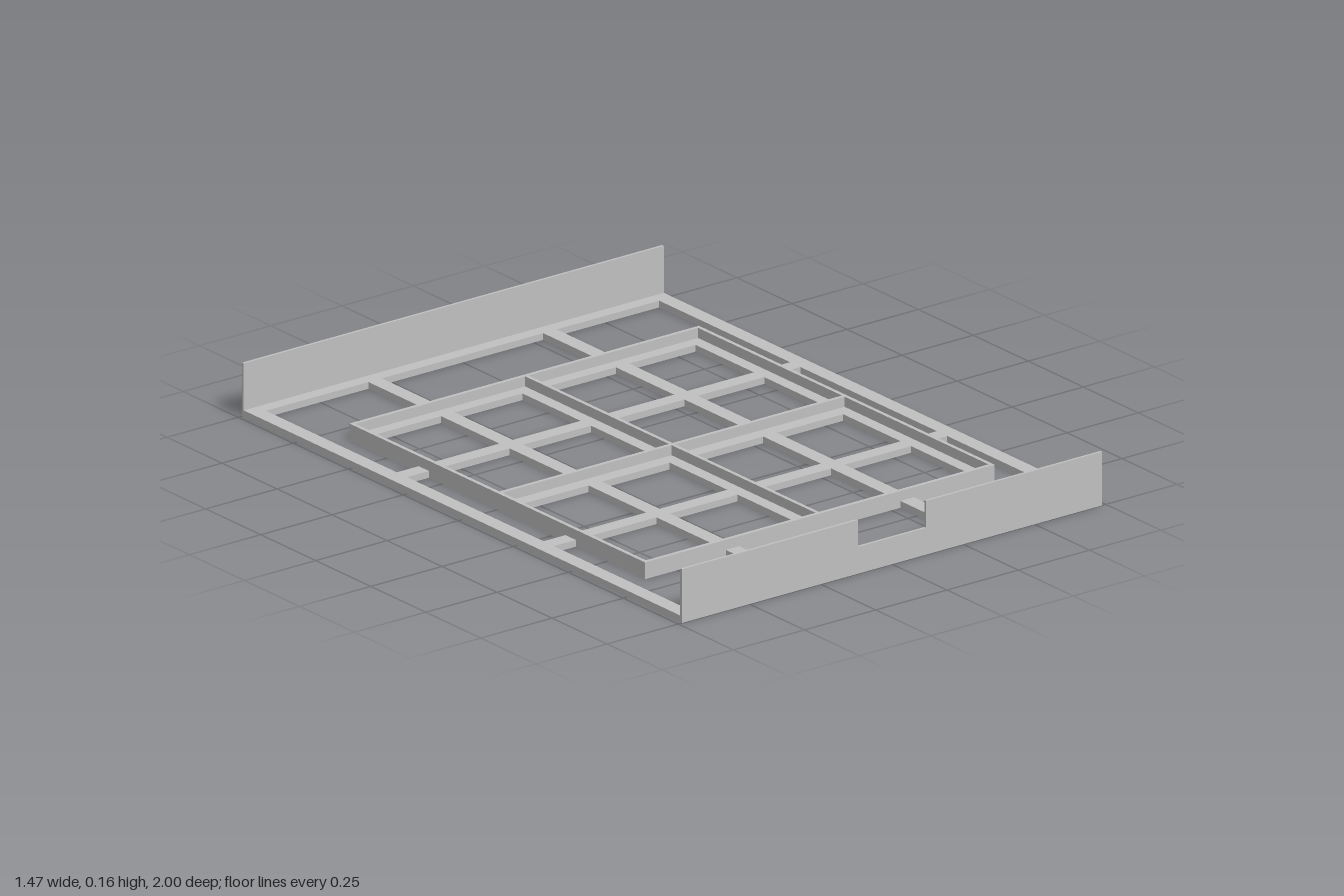
import * as THREE from 'three';

export function createModel() {
  const model = new THREE.Group();
  const grey = new THREE.MeshStandardMaterial({ color: 0xc0c0c0 });
  grey.name = 'light grey';

  const W = 0.737, L = 1;               // half width and length of the base
  const TW = 0.613, TL = 0.672;         // half width and length of the inner tray
  const floor = 0.02, rimTop = 0.05, wallTop = 0.16, thin = 0.008;

  const path = (Type, points) => new Type(points.map(([x, y]) => new THREE.Vector2(x, y)));
  const rect = (x0, x1, y0, y1) => [[x0, y0], [x1, y0], [x1, y1], [x0, y1]];
  const add = (name, geometry, x = 0, y = 0, z = 0) => {
    const mesh = new THREE.Mesh(geometry, grey);
    mesh.name = name;
    mesh.position.set(x, y, z);
    model.add(mesh);
  };
  const extrude = (shape, depth) => new THREE.ExtrudeGeometry(shape, { depth, bevelEnabled: false });

  // Lattice base, drawn in plan and laid flat
  const base = path(THREE.Shape, rect(-W, W, -L, L));
  const cut = (points) => base.holes.push(path(THREE.Path, points));
  for (const sx of [-1, 1]) {
    for (const sy of [-1, 1]) {
      // Four windows in each tray cell
      for (const [x0, x1] of [[0.045, 0.283], [0.33, 0.563]])
        for (const [y0, y1] of [[0.048, 0.31], [0.357, 0.622]])
          cut(rect(sx * x0, sx * x1, sy * y0, sy * y1));
      // L-shaped corner opening around the tray
      cut([[0.33, TL], [TW, TL], [TW, 0.357], [0.69, 0.357], [0.69, 0.952], [0.33, 0.952]]
        .map(([x, y]) => [sx * x, sy * y]));
    }
    // Openings beside the tray, and before and behind it
    cut(rect(sx * TW, sx * 0.69, -0.31, 0.31));
    cut(rect(-0.283, 0.283, sx * TL, sx * 0.952));
  }
  add('latticeBase', extrude(base, floor).rotateX(-Math.PI / 2));

  // Low rim and crossed dividers of the tray
  const rim = 0.012, h = rimTop - floor, y = floor + h / 2;
  for (const s of [-1, 0, 1]) {
    const side = s ? 'trayRim' : 'trayDivider';
    add(side + 'Long', new THREE.BoxGeometry(rim, h, 2 * TL), s * (TW - rim / 2), y, 0);
    add(side + 'Cross', new THREE.BoxGeometry(2 * TW, h, rim), 0, y, s * (TL - rim / 2));
  }

  // Upright end walls, the front one notched
  add('backWall', new THREE.BoxGeometry(2 * W, wallTop, thin), 0, wallTop / 2, -L + thin / 2);
  const front = path(THREE.Shape, [[-W, 0], [W, 0], [W, wallTop], [0.12, wallTop],
    [0.12, 0.08], [-0.12, 0.08], [-0.12, wallTop], [-W, wallTop]]);
  add('frontWall', extrude(front, thin), 0, 0, L - thin);

  return model;
}
